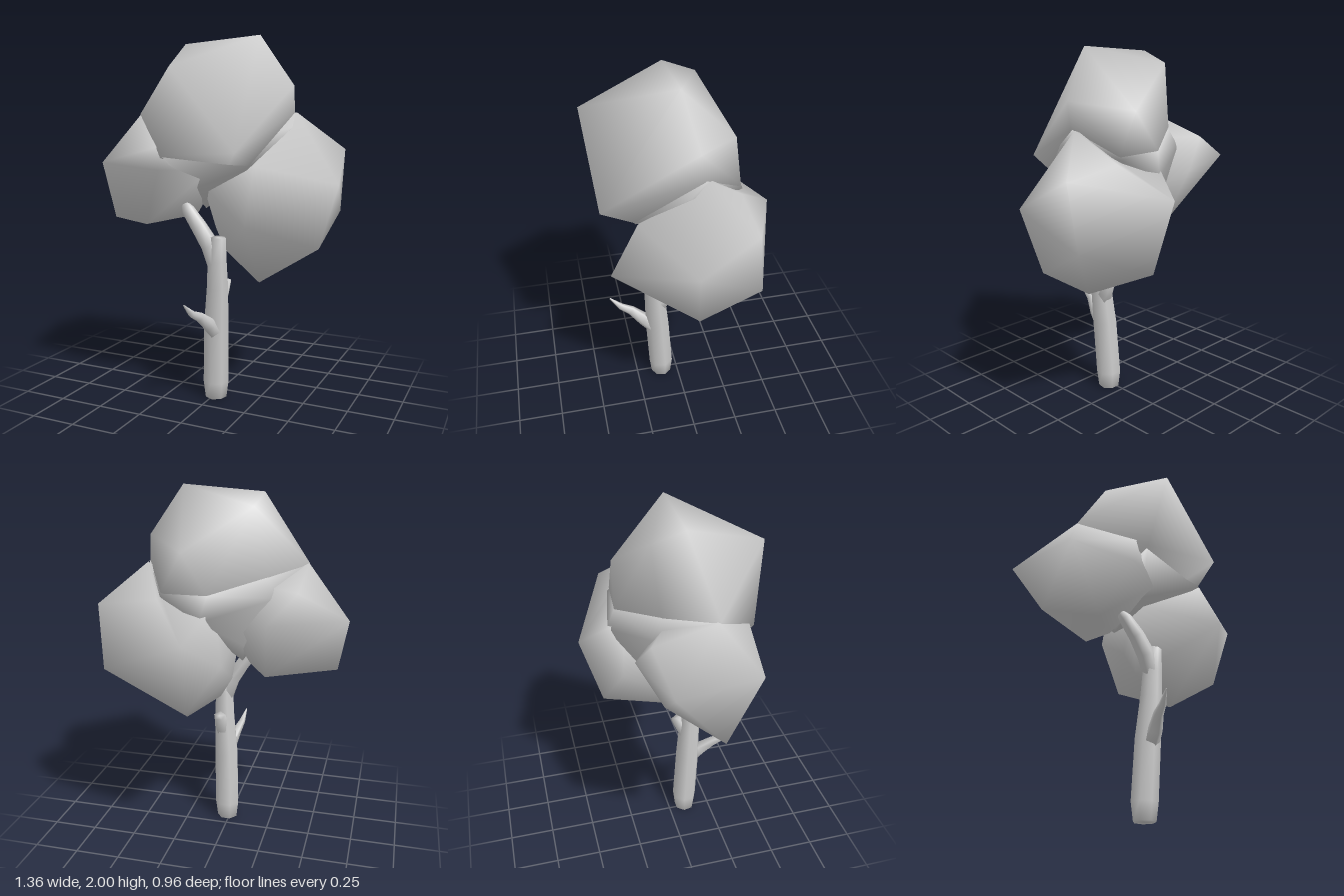
import * as THREE from 'three';
import { mergeVertices } from 'three/addons/utils/BufferGeometryUtils.js';
import { ConvexGeometry } from 'three/addons/geometries/ConvexGeometry.js';

const material = new THREE.MeshStandardMaterial({ color: 0xcccccc });
const vec = (p) => new THREE.Vector3(p[0], p[1], p[2]);

function addMesh(parent, name, geometry) {
  const mesh = new THREE.Mesh(geometry, material);
  mesh.name = name;
  parent.add(mesh);
}

// Weld the corners so that shading runs smoothly over the facets
function smooth(geometry) {
  geometry.deleteAttribute('normal');
  geometry.deleteAttribute('uv');
  const welded = mergeVertices(geometry, 1e-4);
  welded.computeVertexNormals();
  return welded;
}

// Leaf mass spanned by a few corner points
const clump = (points) => smooth(new ConvexGeometry(points.map(vec)));

// Tapered limb: a cylinder bent through stations [x, y, z, radius]
function limb(stations, sides) {
  const n = stations.length - 1;
  const geometry = new THREE.CylinderGeometry(1, 1, 1, sides, n);
  const up = new THREE.Vector3(0, 1, 0);
  const pos = geometry.attributes.position;
  const turns = stations.map((s, i) => {
    const from = vec(stations[Math.max(i - 1, 0)]);
    const to = vec(stations[Math.min(i + 1, n)]);
    return new THREE.Quaternion().setFromUnitVectors(up, to.sub(from).normalize());
  });
  for (let k = 0; k < pos.count; k++) {
    const i = Math.round((pos.getY(k) + 0.5) * n);
    const v = new THREE.Vector3(pos.getX(k), 0, pos.getZ(k));
    v.multiplyScalar(stations[i][3]).applyQuaternion(turns[i]).add(vec(stations[i]));
    pos.setXYZ(k, v.x, v.y, v.z);
  }
  return smooth(geometry);
}

export function createModel() {
  const tree = new THREE.Group();
  tree.name = 'tree';

  // Trunk and branches
  const wood = new THREE.Group();
  wood.name = 'wood';
  tree.add(wood);
  addMesh(wood, 'trunk', limb([
    [0.015, 0.005, 0.1, 0.06], [0.015, 0.1, 0.1, 0.072], [0.025, 0.42, 0.12, 0.07],
    [0.04, 0.65, 0.135, 0.06], [0.043, 0.8, 0.145, 0.053], [0.052, 0.93, 0.15, 0.042],
  ], 7));
  addMesh(wood, 'upperBranch', limb([
    [0.04, 0.76, 0.145, 0.045], [0.005, 0.88, 0.15, 0.05],
    [-0.06, 0.98, 0.155, 0.044], [-0.13, 1.07, 0.15, 0.036], [-0.155, 1.1, 0.14, 0.022],
  ], 6));
  addMesh(wood, 'frontTwig', limb([
    [0.03, 0.38, 0.125, 0.05], [0.02, 0.45, 0.2, 0.04],
    [-0.005, 0.51, 0.27, 0.028], [-0.02, 0.54, 0.33, 0.02], [-0.035, 0.6, 0.39, 0.004],
  ], 5));
  addMesh(wood, 'backStub', limb([
    [0.04, 0.53, 0.125, 0.04], [0.05, 0.61, 0.09, 0.042], [0.055, 0.68, 0.055, 0.036],
  ], 5));

  // Crown of three overlapping leaf masses around a core
  const crown = new THREE.Group();
  crown.name = 'crown';
  tree.add(crown);
  addMesh(crown, 'topLeaves', clump([
    [-0.2, 1.97, 0.03], [0.24, 2.0, 0.03], [-0.18, 1.91, -0.14], [-0.06, 1.82, 0.48],
    [0.41, 1.74, -0.03], [0.41, 1.6, -0.05], [0.27, 1.4, 0.44], [-0.43, 1.59, 0.14],
    [-0.15, 1.38, 0.42], [0.28, 1.33, 0.27], [-0.25, 1.56, -0.11], [0.17, 1.69, -0.27],
    [0.03, 1.48, -0.29], [0.28, 1.48, -0.27], [-0.3, 1.3, 0.15], [0, 1.2, 0],
  ]));
  addMesh(crown, 'rightHandLeaves', clump([
    [-0.68, 1.36, -0.15], [-0.56, 1.33, 0.33], [-0.61, 1.0, 0.13], [-0.34, 0.99, 0.24],
    [-0.2, 1.3, 0.36], [-0.24, 1.0, -0.09], [-0.27, 1.33, -0.25], [-0.42, 1.5, -0.2],
    [-0.43, 1.59, 0.13], [-0.16, 1.43, 0.38], [-0.1, 1.5, 0.0], [-0.14, 1.04, 0.0],
    [-0.08, 1.25, -0.17], [0.05, 1.3, 0.25],
  ]));
  addMesh(crown, 'leftHandLeaves', clump([
    [0.11, 1.26, -0.48], [0.63, 1.4, -0.27], [0.6, 1.05, -0.31], [0.68, 1.23, 0.03],
    [0.57, 0.88, 0], [0.24, 0.67, 0.02], [0.13, 0.85, -0.36], [0.31, 1.04, 0.41],
    [0.3, 1.33, 0.26], [0.3, 1.44, -0.27], [0.41, 1.6, -0.08], [0.03, 0.83, 0.0],
    [-0.06, 1.2, 0.1], [-0.04, 0.95, -0.02], [-0.04, 1.1, -0.27], [0.0, 1.42, -0.25],
  ]));
  addMesh(crown, 'coreLeaves', clump([
    [-0.25, 1.55, -0.11], [-0.3, 1.45, -0.14], [-0.14, 1.2, -0.18], [0.03, 1.48, -0.29],
    [0.06, 1.35, -0.33], [0.28, 1.46, -0.28], [0.41, 1.6, -0.06], [0.42, 1.52, 0.02],
    [0.29, 1.33, 0.27], [-0.15, 1.38, 0.41], [-0.43, 1.58, 0.13], [-0.05, 1.2, 0.2],
    [-0.1, 1.06, -0.02],
  ]));
  return tree;
}
